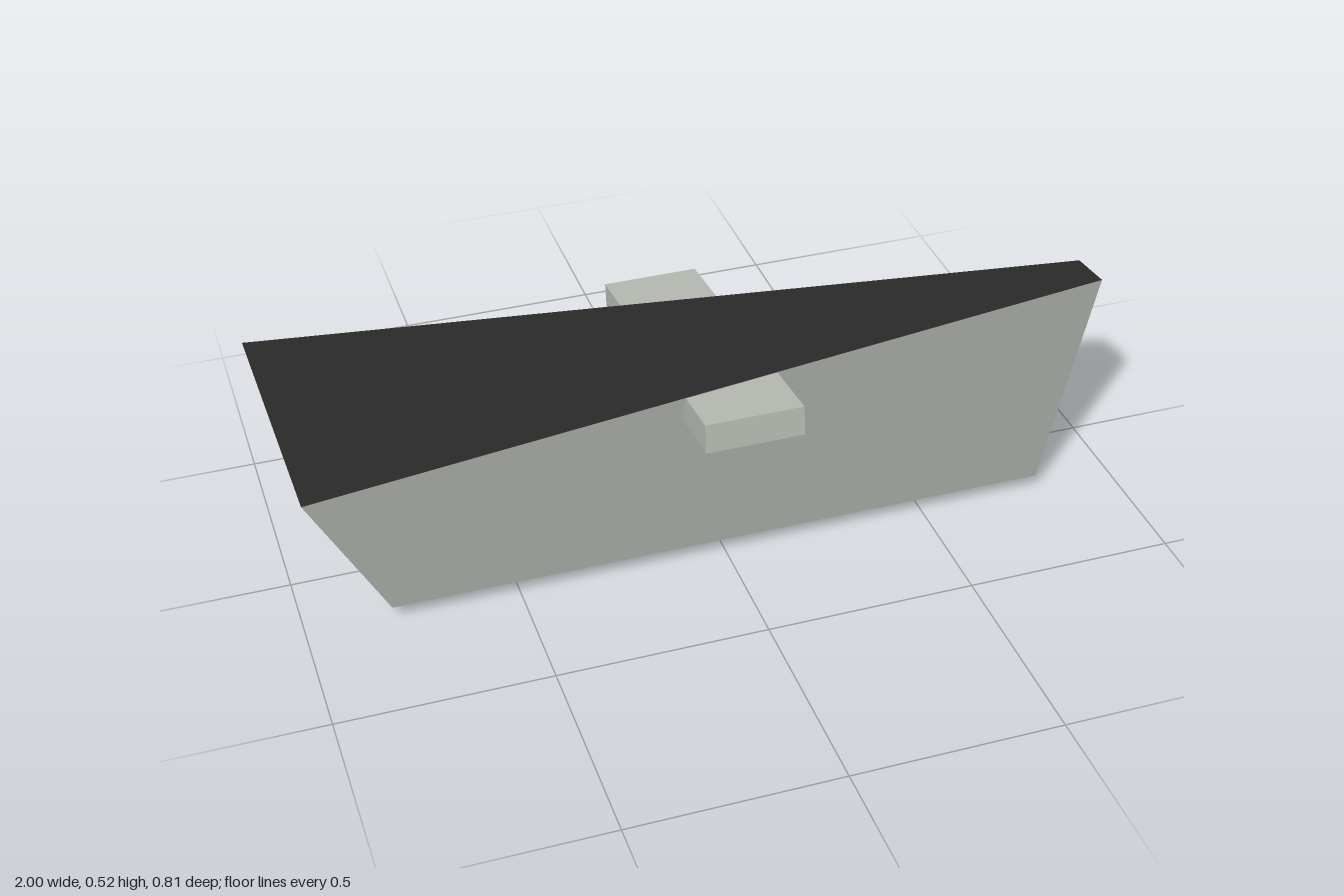
import * as THREE from 'three';

// Flat quads from corner lists (counter-clockwise from outside), split along b-d,
// each with a single shared normal.
function quads(list) {
  const pos = [], nor = [];
  for (const [a, b, c, d] of list) {
    const n = c.clone().sub(a).cross(d.clone().sub(b)).normalize();
    for (const p of [a, b, d, b, c, d]) {
      pos.push(p.x, p.y, p.z);
      nor.push(n.x, n.y, n.z);
    }
  }
  const g = new THREE.BufferGeometry();
  g.setAttribute('position', new THREE.Float32BufferAttribute(pos, 3));
  g.setAttribute('normal', new THREE.Float32BufferAttribute(nor, 3));
  return g;
}

export function createModel() {
  const grey = new THREE.MeshStandardMaterial({ color: 0xb9beb6 });
  grey.name = 'pale grey';
  const dark = new THREE.MeshStandardMaterial({ color: 0x2b2b2b });
  dark.name = 'charcoal';

  const model = new THREE.Group();
  model.name = 'model';
  const add = (name, geometry, material) => {
    const m = new THREE.Mesh(geometry, material);
    m.name = name;
    body.add(m);
    return m;
  };

  // Whole body leans backwards about the x axis
  const body = new THREE.Group();
  body.name = 'body';
  body.position.y = 0.47;
  body.rotation.x = -0.1228;
  model.add(body);

  // Corners: wide end at -x, narrow end at +x, smaller rectangle below
  const v = (x, y, z) => new THREE.Vector3(x, y, z);
  const depth = -0.4555;
  const wideF = v(-1, 0, 0.408), wideB = v(-1, 0, -0.408);
  const slimF = v(1, 0, 0.061), slimB = v(1, 0, -0.061);
  const lowWF = v(-0.8, depth, 0.143), lowWB = v(-0.8, depth, -0.143);
  const lowSF = v(0.8, depth, 0.143), lowSB = v(0.8, depth, -0.143);

  // Sloping sides, ends and underside
  add('hull', quads([
    [wideF, lowWF, lowSF, slimF],
    [wideB, slimB, lowSB, lowWB],
    [slimF, lowSF, lowSB, slimB],
    [wideB, lowWB, lowWF, wideF],
    [lowWF, lowWB, lowSB, lowSF],
  ]), grey);

  // Dark top surface
  add('deck', quads([[wideF, slimF, slimB, wideB]]), dark);

  // Bar through the hull, showing as a block on each side
  add('crossBar', new THREE.BoxGeometry(0.23, 0.07, 0.776), grey).position.y = -0.037;

  return model;
}
